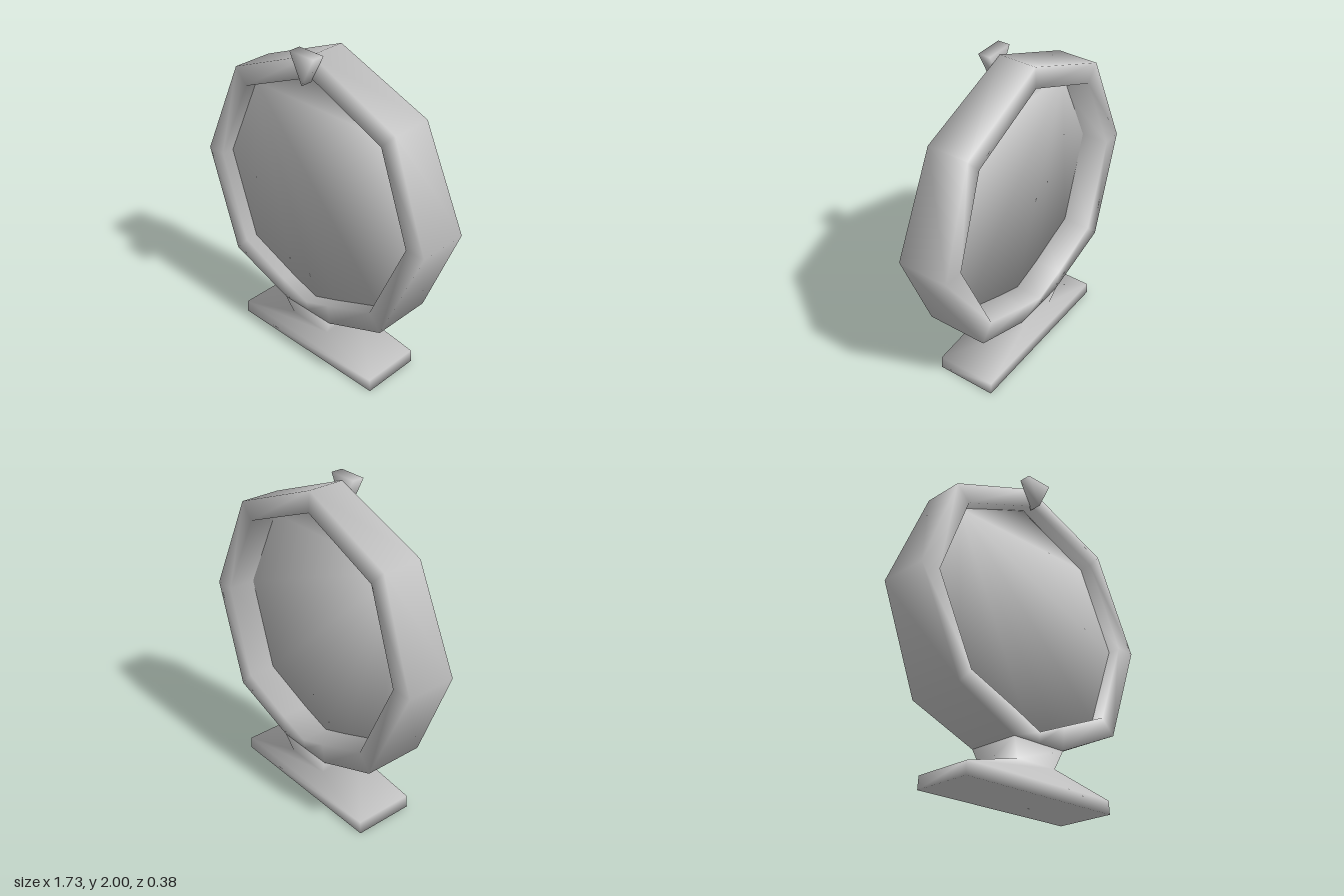
import * as THREE from 'three';

const FRONT_RECESS = 0.08, BACK_RECESS = 0.175;

// Half depth of the frame: slim at the top, thickest low down, tucked in at the neck
const halfDepth = (y) => (y > 0.485 ? 0.19 - (y - 0.485) * 0.05 : 0.19 - (0.485 - y) * 0.12);

// Closed outline, clockwise from the top, from its right half
const mirrored = (half) => [...half, ...half.slice(1, -1).reverse().map(([x, y]) => [-x, y])];
const OUTER = mirrored([[0, 1.978], [0.61, 1.727], [0.867, 1.107], [0.61, 0.485], [0.19, 0.3], [0, 0.3]]);
const INNER = mirrored([[0, 1.85], [0.523, 1.633], [0.742, 1.107], [0.523, 0.58], [0.19, 0.443], [0, 0.365]]);

// Places an outline on the front (side 1) or back (side -1), set in from the frame's face
const place = (outline, side, inset) => outline.map(([x, y]) => [x, y, side * (halfDepth(y) - inset)]);

// Smooth normals, each face weighted by its corner angle
function smoothNormals(points, index) {
  const normals = points.map(() => new THREE.Vector3());
  for (let f = 0; f < index.length; f += 3) {
    for (let c = 0; c < 3; c++) {
      const [a, b, d] = [0, 1, 2].map((s) => index[f + (c + s) % 3]);
      const ab = points[b].clone().sub(points[a]), ad = points[d].clone().sub(points[a]);
      const face = ab.clone().cross(ad).normalize();
      normals[a].addScaledVector(face, ab.angleTo(ad));
    }
  }
  return normals.flatMap((v) => v.normalize().toArray());
}

// Smooth skin over a stack of loops (counter-clockwise seen from the last loop's side)
function loft(loops, { capped = true, closed = false } = {}) {
  const n = loops[0].length, last = (loops.length - 1) * n, total = last + n, index = [];
  for (let k = 0; k < (closed ? total : last); k += n) {
    const next = (k + n) % total;
    for (let i = 0; i < n; i++) {
      const j = (i + 1) % n;
      index.push(k + i, k + j, next + j, k + i, next + j, next + i);
    }
  }
  if (capped) {
    for (let i = 1; i < n - 1; i++) index.push(0, i + 1, i, last, last + i, last + i + 1);
  }
  const points = loops.flat().map((p) => new THREE.Vector3(...p));
  const geo = new THREE.BufferGeometry().setFromPoints(points);
  geo.setAttribute('normal', new THREE.Float32BufferAttribute(smoothNormals(points, index), 3));
  geo.setIndex(index);
  return geo;
}

export function createModel() {
  const group = new THREE.Group();
  const material = new THREE.MeshStandardMaterial({ color: 0xcccccc });
  const add = (name, geo) => {
    const mesh = new THREE.Mesh(geo, material);
    mesh.name = name;
    group.add(mesh);
  };

  // Octagonal frame with a rectangular section
  add('frame', loft([
    place(INNER, 1, 0), place(OUTER, 1, 0), place(OUTER, -1, 0), place(INNER, -1, 0),
  ], { capped: false, closed: true }));

  // Flat pane, set deeper at the back than at the front
  add('pane', loft([
    place(INNER, -1, BACK_RECESS).reverse(), place(INNER, 1, FRONT_RECESS).reverse(),
  ]));

  // Flared foot with a pinched neck: height, half width, half depth
  const sections = [[0, 0.55, 0.19], [0.08, 0.545, 0.19], [0.19, 0.145, 0.145], [0.3, 0.19, 0.168]];
  add('foot', loft(sections.map(([y, w, z]) => [[-w, y, z], [w, y, z], [w, y, -z], [-w, y, -z]])));

  // Triangular pointer at the top of the front
  add('pointer', loft([0.115, 0.19].map((z) => [[-0.09, 2, z], [0, 1.823, z], [0.09, 2, z]])));

  return group;
}
